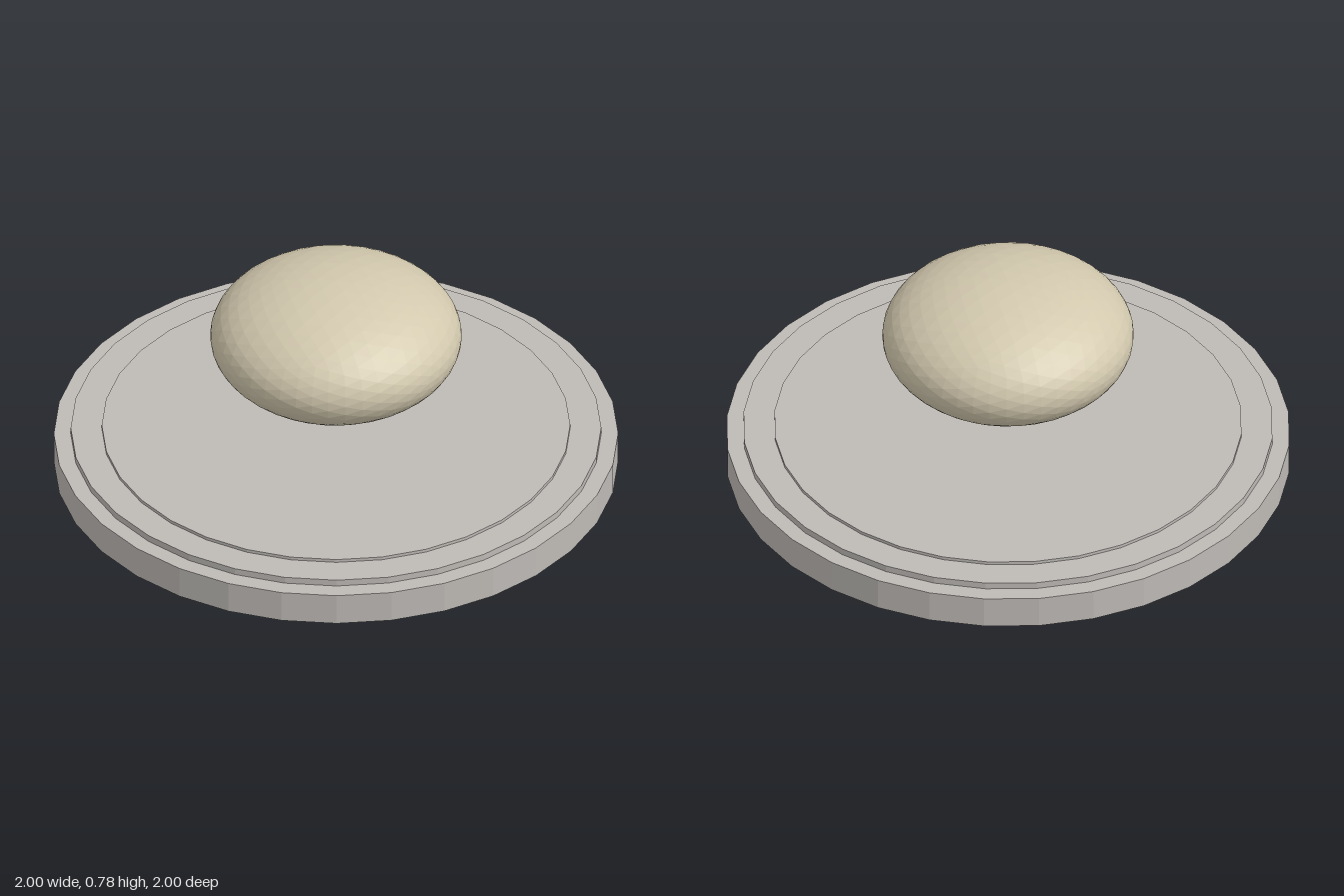
import * as THREE from 'three';

export function createModel() {
  const model = new THREE.Group();
  model.name = 'floatingStoneOnPlinth';

  const stone = new THREE.MeshStandardMaterial({ color: 0xbebab6, flatShading: true });
  stone.name = 'grey stone';
  const cream = new THREE.MeshStandardMaterial({ color: 0xd2c8ae, flatShading: true });
  cream.name = 'warm cream';

  // Round plinth in three shallow steps: name, radius, bottom, top
  const steps = [
    ['plinthBase', 1, 0, 0.12],
    ['plinthStep', 0.94, 0.12, 0.145],
    ['plinthTop', 0.83, 0.145, 0.157],
  ];
  for (const [name, radius, bottom, top] of steps) {
    const disc = new THREE.Mesh(new THREE.CylinderGeometry(radius, radius, top - bottom, 32), stone);
    disc.name = name;
    disc.position.y = (bottom + top) / 2;
    model.add(disc);
  }

  // Flattened faceted ball hovering above the plinth
  const ball = new THREE.IcosahedronGeometry(1, 7);
  ball.scale(0.446, 0.236, 0.446);
  const body = new THREE.Mesh(ball, cream);
  body.name = 'floatingEllipsoid';
  body.position.y = 0.546;
  model.add(body);

  return model;
}
